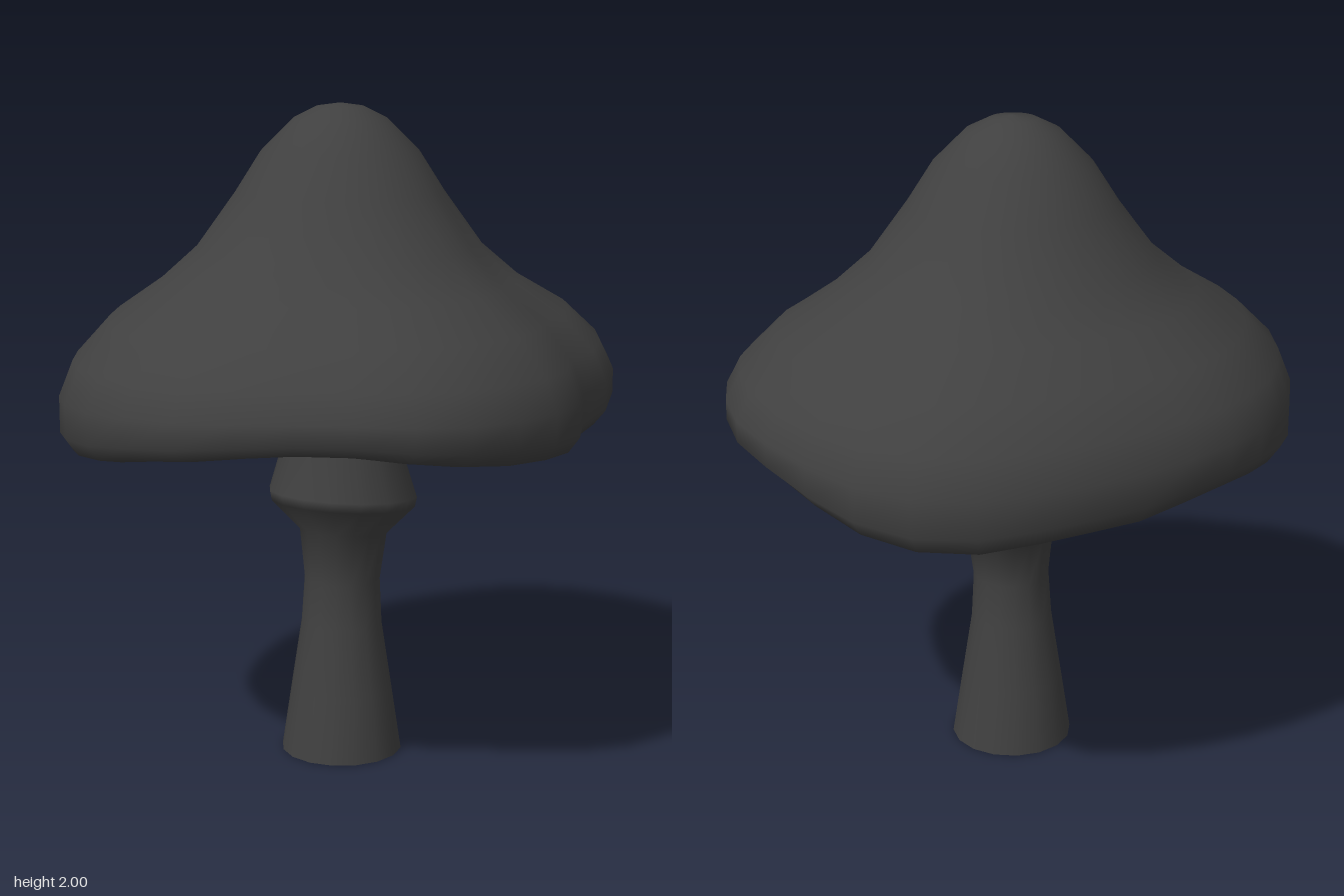
import * as THREE from 'three';

const material = new THREE.MeshStandardMaterial({ color: 0x404040, side: THREE.DoubleSide });

// Smooth skin over rings of equal length, listed so that faces look outward going down
function loft(rings, sides) {
  const positions = [], index = [];
  for (const ring of rings) for (const p of ring) positions.push(...p);
  for (let k = 0; k < rings.length - 1; k++) {
    for (let i = 0; i < sides; i++) {
      const j = (i + 1) % sides;
      const a = k * sides + i, b = k * sides + j, c = a + sides, d = b + sides;
      index.push(a, b, d, a, d, c);
    }
  }
  const geometry = new THREE.BufferGeometry();
  geometry.setAttribute('position', new THREE.Float32BufferAttribute(positions, 3));
  geometry.setIndex(index);
  geometry.computeVertexNormals();
  return geometry;
}

// Uneven outline of the cap, from +x towards +z
const rimRadius = [
  0.80, 0.82, 0.83, 0.85, 0.85, 0.84, 0.83, 0.855, 0.88, 0.885, 0.88, 0.87, 0.85, 0.83, 0.82, 0.81,
  0.80, 0.79, 0.79, 0.81, 0.84, 0.88, 0.91, 0.905, 0.89, 0.885, 0.885, 0.87, 0.855, 0.83, 0.80, 0.755,
];
// Height of the wavy lower lip in the same order
const lipHeight = [
  1.02, 1.03, 1.04, 1.06, 1.08, 1.10, 1.10, 1.09, 1.07, 1.05, 1.02, 1.00, 0.98, 0.97, 1.00, 1.02,
  1.03, 1.02, 1.00, 1.00, 0.99, 0.975, 0.98, 1.00, 1.04, 1.08, 1.10, 1.11, 1.10, 1.07, 1.04, 1.02,
];

// Cap section: radius (for a rim of 0.8), height, share of the outline, share of the lip wave
const capProfile = [
  [0.002, 2.0, 0, 0], [0.07, 1.99, 0, 0], [0.14, 1.955, 0, 0], [0.235, 1.86, 0, 0],
  [0.31, 1.74, 0.1, 0], [0.42, 1.58, 0.4, 0], [0.53, 1.475, 0.7, 0], [0.665, 1.38, 0.9, 0.1],
  [0.76, 1.275, 1, 0.2], [0.80, 1.18, 1, 0.4], [0.80, 1.09, 1, 0.8], [0.765, 1.045, 1, 1],
  [0.70, 1.03, 1, 1], [0.64, 1.06, 1, 0.9], [0.50, 1.13, 0.9, 0.6], [0.34, 1.18, 0.5, 0.3],
  [0.16, 1.21, 0, 0], [0.002, 1.22, 0, 0],
];

function buildCap() {
  const sides = rimRadius.length;
  const rings = capProfile.map(([r, y, outline, wave]) => rimRadius.map((rim, i) => {
    const a = (i / sides) * Math.PI * 2;
    const radius = r * (1 + outline * (rim / 0.8 - 1));
    return [radius * Math.cos(a), y + wave * (lipHeight[i] - 1.03), radius * Math.sin(a)];
  }));
  return loft(rings, sides);
}

// Stem section: radius, height, x offset, tilt along z
const stemProfile = [
  [0.18, 1.24, 0.005, 0], [0.18, 1.08, 0.005, 0], [0.182, 0.97, 0.005, 0], [0.228, 0.82, 0.01, 0.1],
  [0.222, 0.79, 0.01, 0.1], [0.135, 0.70, 0.01, 0.12], [0.117, 0.55, 0.007, 0],
  [0.125, 0.41, 0.005, 0], [0.157, 0.2, 0.005, 0], [0.187, 0, 0.005, 0],
];

function buildStem(sides) {
  const rings = stemProfile.map(([r, y, dx, tilt]) => Array.from({ length: sides }, (_, i) => {
    const a = (i / sides) * Math.PI * 2;
    const z = r * Math.sin(a);
    return [dx + r * Math.cos(a), y + tilt * z, z];
  }));
  return loft(rings, sides);
}

export function createModel() {
  const group = new THREE.Group();
  group.name = 'mushroom';
  const add = (name, geometry) => {
    const mesh = new THREE.Mesh(geometry, material);
    mesh.name = name;
    group.add(mesh);
    return mesh;
  };

  add('cap', buildCap());
  add('stem', buildStem(16));

  // Flat foot closing the stem
  const foot = add('stemBase', new THREE.CircleGeometry(0.187, 16));
  foot.rotation.x = Math.PI / 2;
  foot.position.x = 0.005;

  return group;
}
